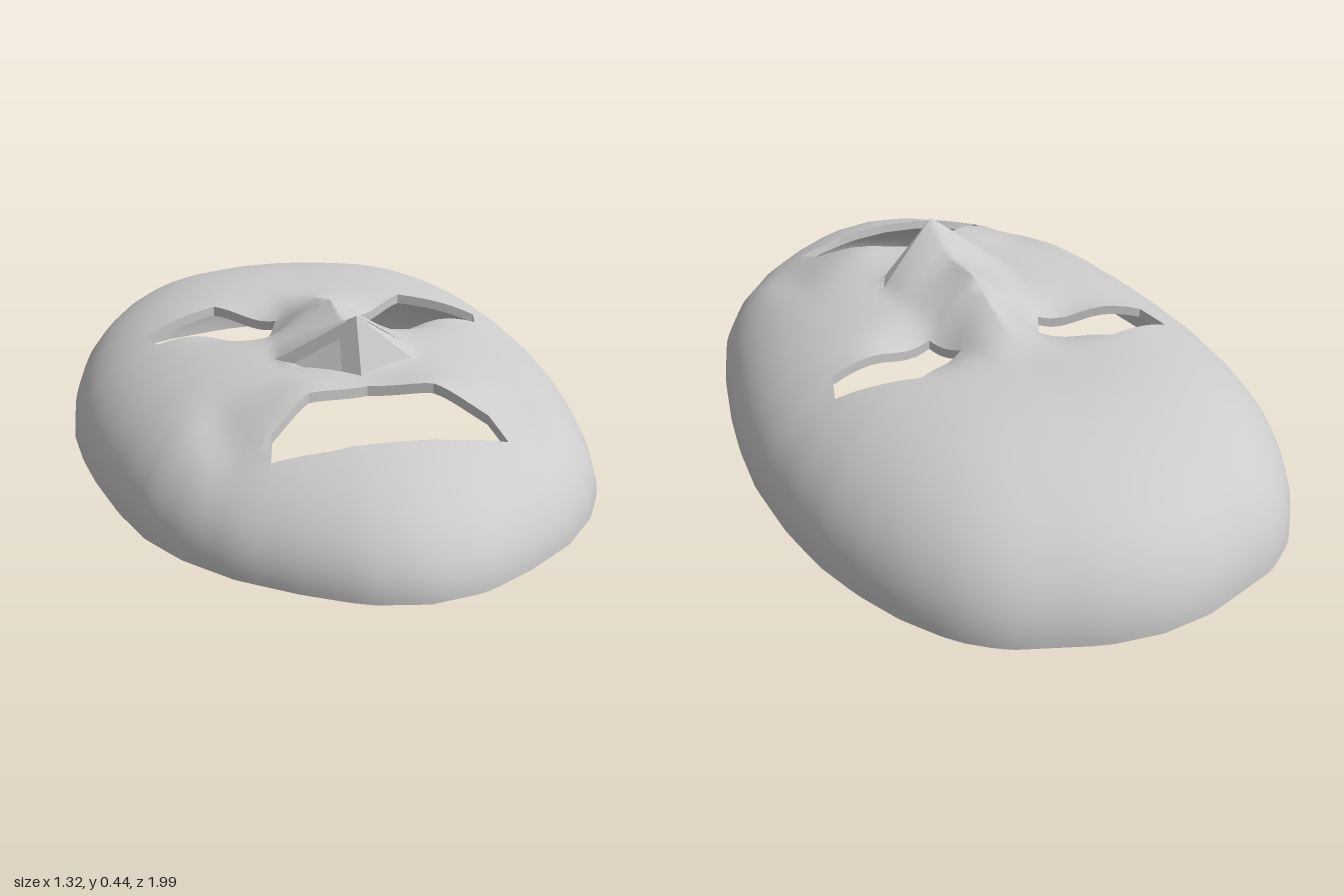
import * as THREE from 'three';
import { mergeVertices } from 'three/addons/utils/BufferGeometryUtils.js';

const { lerp, clamp, smoothstep } = THREE.MathUtils;

// Half outline of the face as [x, z], chin to crown
const outline = [[0, 0.99], [0.13, 0.965], [0.26, 0.885], [0.38, 0.79], [0.48, 0.67], [0.545, 0.55],
  [0.59, 0.4], [0.63, 0.2], [0.65, 0.05], [0.66, -0.12], [0.645, -0.32], [0.615, -0.48], [0.57, -0.61],
  [0.51, -0.73], [0.43, -0.84], [0.34, -0.91], [0.13, -0.985], [0, -1]];

// Openings and the underside of the nose, all convex [x, z] polygons
const mirror = (poly) => poly.map(([x, z]) => [-x, z]);
const eye = [[0.46, -0.18], [0.26, -0.25], [0.11, -0.14], [0.155, -0.04], [0.435, -0.09]];
const mouth = [[0, 0.435], [0.15, 0.475], [0.255, 0.57], [0.275, 0.655], [0.15, 0.677], [0, 0.683],
  [-0.15, 0.677], [-0.275, 0.655], [-0.255, 0.57], [-0.15, 0.475]];
const noseUnder = [[0, 0.32], [0, 0.375], [0.15, 0.285], [0.18, 0.22]];

const side = (a, b, p) => (b[1] - a[1]) * (p[0] - a[0]) - (b[0] - a[0]) * (p[1] - a[1]);
const orient = (poly) => (side(poly[0], poly[1], poly[2]) < 0 ? [...poly].reverse() : poly);
const openings = { leftEye: eye, rightEye: mirror(eye), mouth };
const cuts = [...Object.values(openings), noseUnder, mirror(noseUnder)].map(orient);

// Distance from the centre to the outline in the direction of (x, z)
function radius(x, z) {
  const len = Math.hypot(x, z) || 1;
  const d = [Math.abs(x) / len, z / len];
  for (let i = 0; i < outline.length - 1; i++) {
    const [a, b] = [outline[i], outline[i + 1]];
    if (d[0] * b[1] - d[1] * b[0] > 1e-9 && i < outline.length - 2) continue;
    const e = [b[0] - a[0], b[1] - a[1]];
    return (a[0] * e[1] - a[1] * e[0]) / (d[0] * e[1] - d[1] * e[0]);
  }
}

// Height of the nose along its ridge
function ridge(z) {
  const keys = [[-0.27, 0], [0.04, 0.082], [0.19, 0.07], [0.32, 0.13], [0.375, 0]];
  for (let i = 0; i < keys.length - 1; i++) {
    const [[z0, h0], [z1, h1]] = [keys[i], keys[i + 1]];
    if (z >= z0 && z <= z1) return lerp(h0, h1, (z - z0) / (z1 - z0));
  }
  return 0;
}

const bump = (x, z, cx, cz, sx, sz) => Math.exp(-(((x - cx) / sx) ** 2) - ((z - cz) / sz) ** 2);
const rel = (x, z) => Math.min(1, Math.hypot(x, z) / radius(x, z));

// Outer face: dome, eye sockets, lips and nose
function outer([x, z]) {
  const t = rel(x, z);
  const ax = Math.abs(x);
  const dz = z / (Math.hypot(x, z) || 1);
  const p = 2.7 + (dz < 0 ? 1.9 : 0.35) * dz * dz;
  const rim = 0.013 + 0.011 * z;
  let y = rim + (0.315 - rim) * Math.sqrt(Math.max(0, 1 - t ** p));
  y += 0.012 * bump(ax, z, 0.12, -0.5, 0.3, 0.2);
  y -= 0.06 * bump(ax, z, 0.19, -0.1, 0.1, 0.1);
  y += 0.022 * bump(ax, z, 0.16, 0.47, 0.09, 0.1);
  y -= 0.015 * bump(ax, z, 0.35, 0.5, 0.06, 0.15);
  const zn = z + 0.1 * ax / 0.18;
  const w = lerp(0.09, 0.18, smoothstep(clamp(zn, -0.25, 0.32), -0.25, 0.32));
  y += ridge(zn) * Math.max(0, 1 - ax / w);
  return [x, y, z];
}

// Inner face: the same form, set in by the thickness of the shell
function inner([x, z]) {
  const t = rel(x, z);
  const s = 1 - 0.03 * t ** 6;
  return [x * s, outer([x, z])[1] - 0.025 * (1 - t ** 8), z * s];
}

// Part of a polygon on one side of the line a-b
function clip(poly, a, b, sign) {
  const out = [];
  poly.forEach((p, i) => {
    const q = poly[(i + 1) % poly.length];
    const sp = sign * side(a, b, p);
    const sq = sign * side(a, b, q);
    if (sp >= 0) out.push(p);
    if (sp * sq < 0) {
      const k = sp / (sp - sq);
      out.push([lerp(p[0], q[0], k), lerp(p[1], q[1], k)]);
    }
  });
  return out;
}

const area = (poly) => poly.reduce((s, p, i) => {
  const q = poly[(i + 1) % poly.length];
  return s + p[1] * q[0] - p[0] * q[1];
}, 0) / 2;

// Polygon minus a convex hole, as convex pieces
function subtract(poly, hole) {
  const pieces = [];
  let rest = poly;
  for (let i = 0; i < hole.length; i++) {
    const [a, b] = [hole[i], hole[(i + 1) % hole.length]];
    const outside = clip(rest, a, b, -1);
    if (outside.length > 2 && area(outside) > 1e-8) pieces.push(outside);
    rest = clip(rest, a, b, 1);
    if (rest.length < 3 || area(rest) < 1e-8) return [poly];
  }
  return pieces;
}

// Polar grid over the outline with the openings cut out
function facePieces(rings = 36, spokes = 112) {
  const at = (i, j) => {
    const t = Math.sin((i / rings) * Math.PI / 2);
    const a = (j / spokes) * Math.PI * 2;
    const [x, z] = [Math.sin(a), Math.cos(a)];
    const r = t * radius(x, z);
    return [x * r, z * r];
  };
  let pieces = [];
  for (let i = 0; i < rings; i++) {
    for (let j = 0; j < spokes; j++) {
      const [a, b, c, d] = [at(i, j), at(i + 1, j), at(i + 1, j + 1), at(i, j + 1)];
      pieces.push([a, b, c]);
      if (i > 0) pieces.push([a, c, d]);
    }
  }
  for (const hole of cuts) pieces = pieces.flatMap((p) => subtract(p, hole));
  return pieces;
}

const material = new THREE.MeshStandardMaterial({ color: 0xcccccc, side: THREE.DoubleSide });

// Mesh from 3D polygons, smooth or faceted
function polyMesh(name, polys, smooth) {
  const pos = [];
  for (const p of polys) for (let i = 1; i < p.length - 1; i++) pos.push(...p[0], ...p[i], ...p[i + 1]);
  let geo = new THREE.BufferGeometry();
  geo.setAttribute('position', new THREE.Float32BufferAttribute(pos, 3));
  if (smooth) geo = mergeVertices(geo, 1e-4);
  geo.computeVertexNormals();
  const mesh = new THREE.Mesh(geo, material);
  mesh.name = name;
  return mesh;
}

// Strip joining the outer and inner faces along a closed loop
function edgeWall(name, loop, steps) {
  const pts = loop.flatMap((p, i) => {
    const q = loop[(i + 1) % loop.length];
    return Array.from({ length: steps }, (_, k) => [lerp(p[0], q[0], k / steps), lerp(p[1], q[1], k / steps)]);
  });
  return polyMesh(name, pts.map((p, i) => {
    const q = pts[(i + 1) % pts.length];
    return [outer(p), outer(q), inner(q), inner(p)];
  }), false);
}

export function createModel() {
  const group = new THREE.Group();
  group.name = 'mask';
  const pieces = facePieces();
  group.add(polyMesh('outerFace', pieces.map((p) => p.map(outer)), true));
  group.add(polyMesh('innerFace', pieces.map((p) => p.map(inner).reverse()), true));

  // Rim around the back and walls of the openings
  const rim = [...outline, ...mirror(outline.slice(1, -1)).reverse()];
  group.add(edgeWall('rim', [...rim].reverse(), 6));
  for (const [name, loop] of Object.entries(openings)) group.add(edgeWall(name + 'Edge', orient(loop), 8));

  // Flat facets under the nose tip
  const facets = [noseUnder, mirror(noseUnder)].map(orient);
  group.add(polyMesh('noseUnderside', facets.map((p) => p.map(outer)), false));
  group.add(polyMesh('noseUndersideInner', facets.map((p) => p.map(inner).reverse()), false));
  return group;
}
